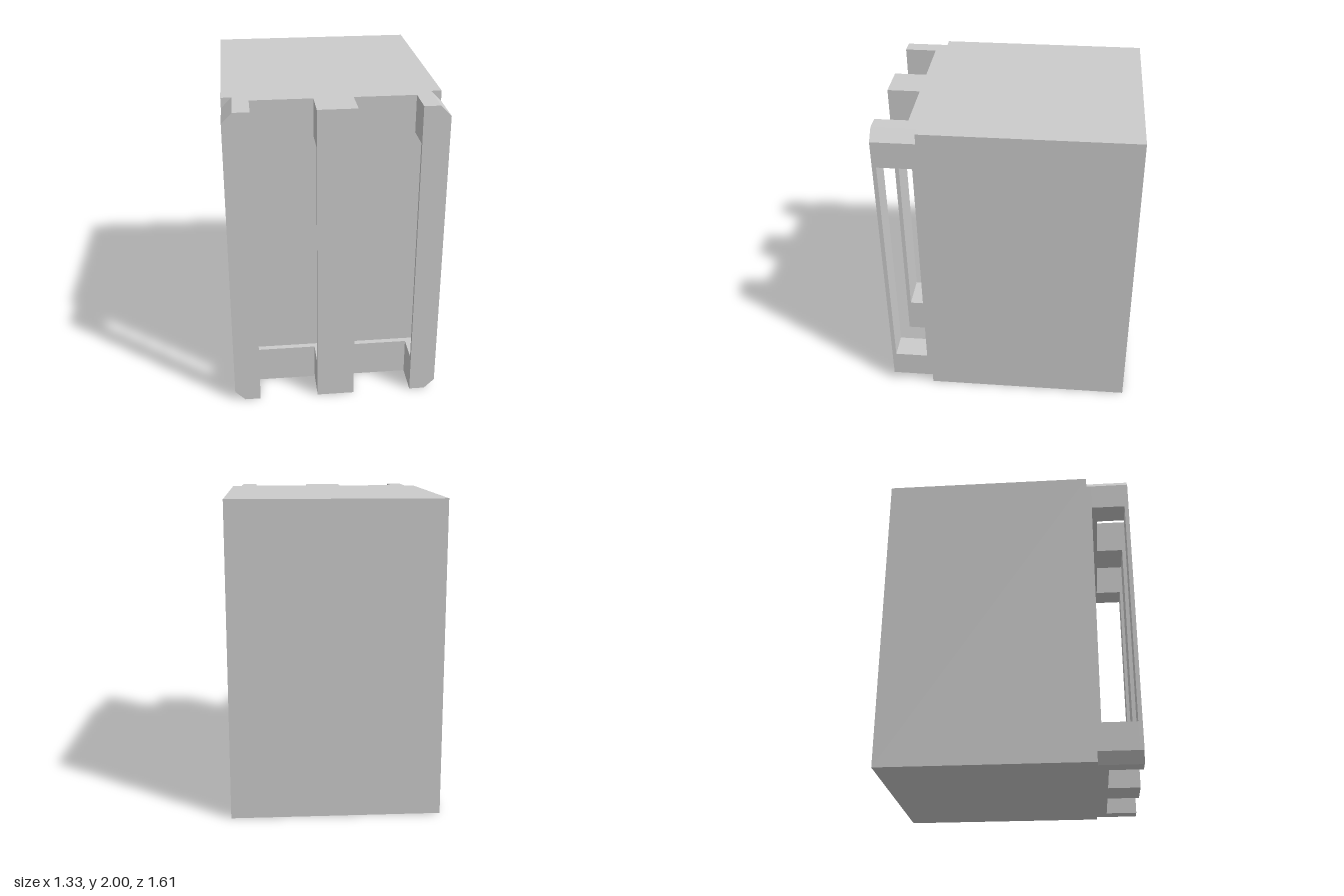
import * as THREE from 'three';

const W = 0.665, H = 2, D = 0.803, CUT = 0.065;
const SLOT_IN = 0.12, SLOT_OUT = 0.5;        // vertical slots in the front
const WIN_LO = 0.243, WIN_HI = 1.763;        // sideways opening through the front
const Z_CUT = 0.53, Z_WIN = 0.56, Z_SLOT = 0.597, Z_BAR = 0.777;

export function createModel() {
  const model = new THREE.Group();
  const material = new THREE.MeshStandardMaterial({ color: 0xcccccc, flatShading: true });

  // Rectangle whose corners are bevelled wherever they meet a corner of the block
  function outline(x0, x1, y0, y1) {
    const pts = [];
    const corners = [[x0, y0], [x1, y0], [x1, y1], [x0, y1]];
    corners.forEach(([x, y], i) => {
      if (Math.abs(x) < W || (y > 0 && y < H)) {
        pts.push(new THREE.Vector2(x, y));
        return;
      }
      const onSide = new THREE.Vector2(x, y === 0 ? CUT : H - CUT);
      const onEnd = new THREE.Vector2(x - Math.sign(x) * CUT, y);
      pts.push(...(i % 2 ? [onEnd, onSide] : [onSide, onEnd]));
    });
    return new THREE.Shape(pts);
  }

  function slab(name, shape, z0, z1) {
    const geometry = new THREE.ExtrudeGeometry(shape, { depth: z1 - z0, bevelEnabled: false });
    const mesh = new THREE.Mesh(geometry, material);
    mesh.name = name;
    mesh.position.z = z0;
    model.add(mesh);
  }

  // Main block
  const body = new THREE.Mesh(new THREE.BoxGeometry(2 * W, H, Z_CUT + D), material);
  body.name = 'body';
  body.position.set(0, H / 2, (Z_CUT - D) / 2);
  model.add(body);

  // Bevelled slab behind the opening
  slab('frontWall', outline(-W, W, 0, H), Z_CUT, Z_WIN);

  // Shallow ledges above and below the opening
  const ends = [['lower', 0, WIN_LO], ['upper', WIN_HI, H]];
  for (const [end, y0, y1] of ends) slab(end + 'Ledge', outline(-W, W, y0, y1), Z_WIN, Z_SLOT);

  // Three upright bars, each held clear of the wall by two end blocks
  const bars = [['right', -W, -SLOT_OUT], ['middle', -SLOT_IN, SLOT_IN], ['left', SLOT_OUT, W]];
  for (const [side, x0, x1] of bars) {
    slab(side + 'Bar', outline(x0, x1, 0, H), Z_BAR, D);
    for (const [end, y0, y1] of ends) {
      slab(`${side} ${end} barMount`, outline(x0, x1, y0, y1), Z_SLOT, Z_BAR);
    }
  }
  return model;
}
